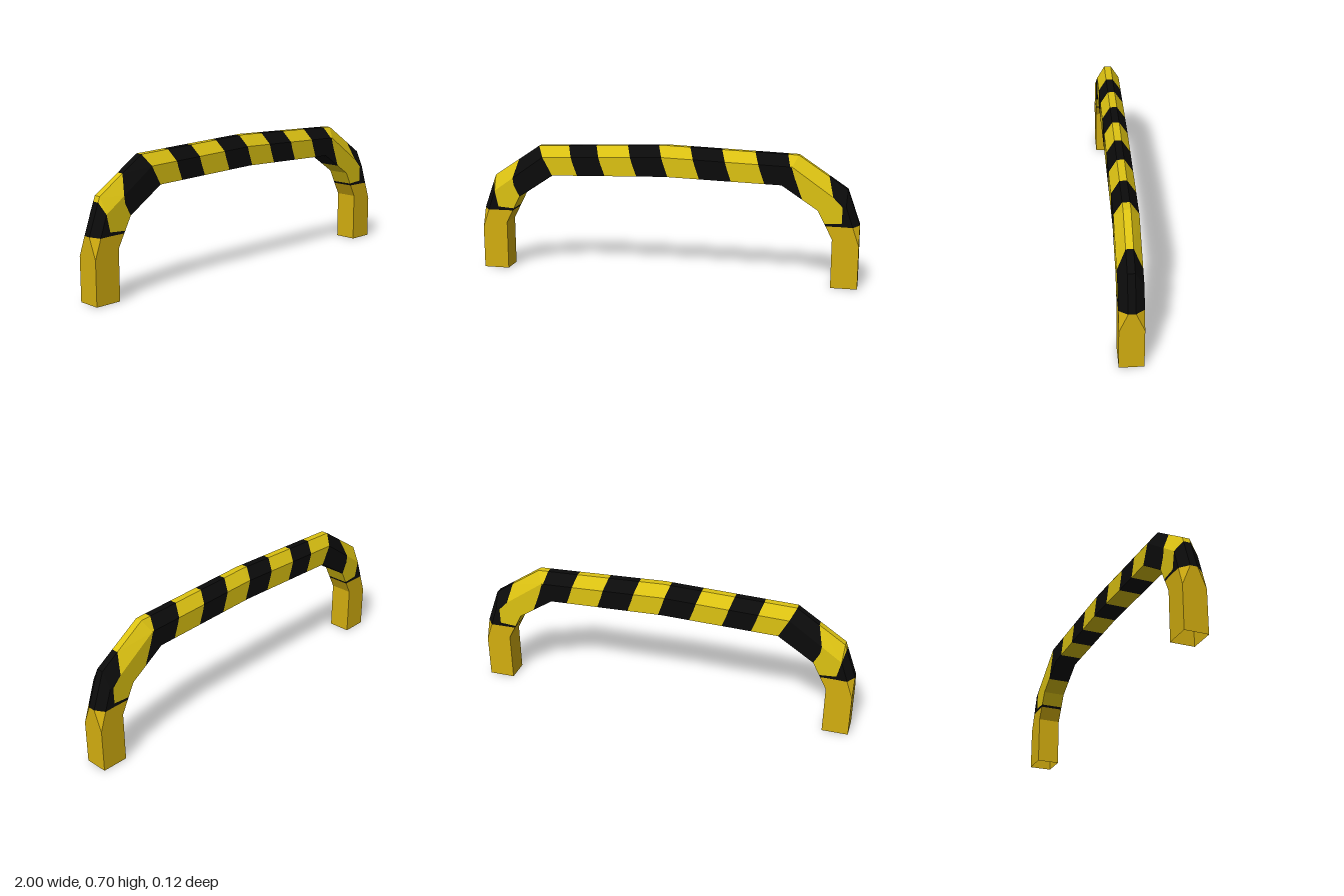
import * as THREE from 'three';

// Half of the arch from left-hand foot (-x) to the crown: [x, y] of each rail per station
const outer = [[-1, 0], [-1, 0.325], [-0.935, 0.505], [-0.685, 0.672], [0, 0.697]];
const shoulder = [[-1, 0], [-1, 0.222], [-0.93, 0.425], [-0.656, 0.617], [0, 0.64]];
const inner = [[-0.865, 0], [-0.865, 0.255], [-0.79, 0.4], [-0.605, 0.522], [0, 0.54]];
const middle = shoulder.map(([x, y], i) => [x + (inner[i][0] - x) * 0.35, y + (inner[i][1] - y) * 0.35]);

// Mirror a half rail to the full arch (stations 0..8) at depth z
function fullRail(half, z) {
  const other = half.slice(0, -1).reverse().map(([x, y]) => [-x, y]);
  return [...half, ...other].map(([x, y]) => new THREE.Vector3(x, y, z));
}

// Eight rails around the cross-section, and the stripe column each one follows
const rails = [
  fullRail(outer, 0.018), fullRail(shoulder, 0.06), fullRail(middle, 0.06), fullRail(inner, 0.06),
  fullRail(inner, -0.06), fullRail(middle, -0.06), fullRail(shoulder, -0.06), fullRail(outer, -0.018),
];
const column = [0, 1, 2, 3, 3, 2, 1, 0];

// Stripe borders: station value on the outer, shoulder, middle and inner rails
const onBar = (x) => [4 + x / 0.685, 4 + (x + 0.02) / 0.656, 4 + (x + 0.03) / 0.638, 4 + (x + 0.053) / 0.605];
const borders = [
  [0, 0, 0, 0],
  [1, 1.48, 1.48, 1.46],
  [1.85, 2, 1.58, 1.54],
  [2.54, 2.38, 2.25, 2],
  [3, 3, 3, 3],
  ...[-0.52, -0.37, -0.2, -0.035, 0.13, 0.295, 0.465].map(onBar),
  [4.92, 4.985, 5.13, 5.57],
  [5.62, 5.76, 6.42, 6.46],
  [7, 6.52, 6.52, 6.54],
  [8, 8, 8, 8],
];

// Clip a polygon of [t, v] points at t = limit, keeping the side given by sign
function clip(poly, limit, sign) {
  const result = [];
  poly.forEach((p, i) => {
    const q = poly[(i + 1) % poly.length];
    const a = (p[0] - limit) * sign, b = (q[0] - limit) * sign;
    if (a >= 0) result.push(p);
    if ((a > 0 && b < 0) || (a < 0 && b > 0)) result.push([limit, p[1] + (q[1] - p[1]) * a / (a - b)]);
  });
  return result;
}

// Surface of one stripe between two borders, folded exactly at the stations
function bandGeometry(start, end) {
  const positions = [];
  for (let r = 0; r < 8; r++) {
    const s = (r + 1) % 8, a = column[r], b = column[s];
    const patch = [[start[a], 0], [end[a], 0], [end[b], 1], [start[b], 1]];
    for (let k = 0; k < 8; k++) {
      const poly = clip(clip(patch, k, 1), k + 1, -1);
      const points = poly.map(([t, v]) => {
        const p = rails[r][k].clone().lerp(rails[r][k + 1], t - k);
        const q = rails[s][k].clone().lerp(rails[s][k + 1], t - k);
        return p.lerp(q, v);
      });
      for (let i = 1; i < points.length - 1; i++) {
        const [p, q, w] = [points[0], points[i + 1], points[i]];
        const area = q.clone().sub(p).cross(w.clone().sub(p)).length();
        if (area > 1e-8) for (const c of [p, q, w]) positions.push(c.x, c.y, c.z);
      }
    }
  }
  const geometry = new THREE.BufferGeometry();
  geometry.setAttribute('position', new THREE.Float32BufferAttribute(positions, 3));
  geometry.computeVertexNormals();
  return geometry;
}

export function createModel() {
  const material = (name, color) =>
    new THREE.MeshStandardMaterial({ name, color, flatShading: true, side: THREE.DoubleSide });
  const legYellow = material('legYellow', 0xd3ae10);
  const stripeYellow = material('stripeYellow', 0xdcc212);
  const stripeBlack = material('stripeBlack', 0x0b0b0b);

  const model = new THREE.Group();
  model.name = 'hoopBarrier';
  const last = borders.length - 2;
  for (let i = 0; i <= last; i++) {
    // Plain open-ended legs at both ends, alternating stripes between them
    const isLeg = i === 0 || i === last;
    const paint = isLeg ? legYellow : i % 2 ? stripeBlack : stripeYellow;
    const mesh = new THREE.Mesh(bandGeometry(borders[i], borders[i + 1]), paint);
    mesh.name = i === 0 ? 'rightLeg' : i === last ? 'leftLeg' : (i % 2 ? 'blackStripe' : 'yellowStripe') + i;
    model.add(mesh);
  }
  return model;
}
